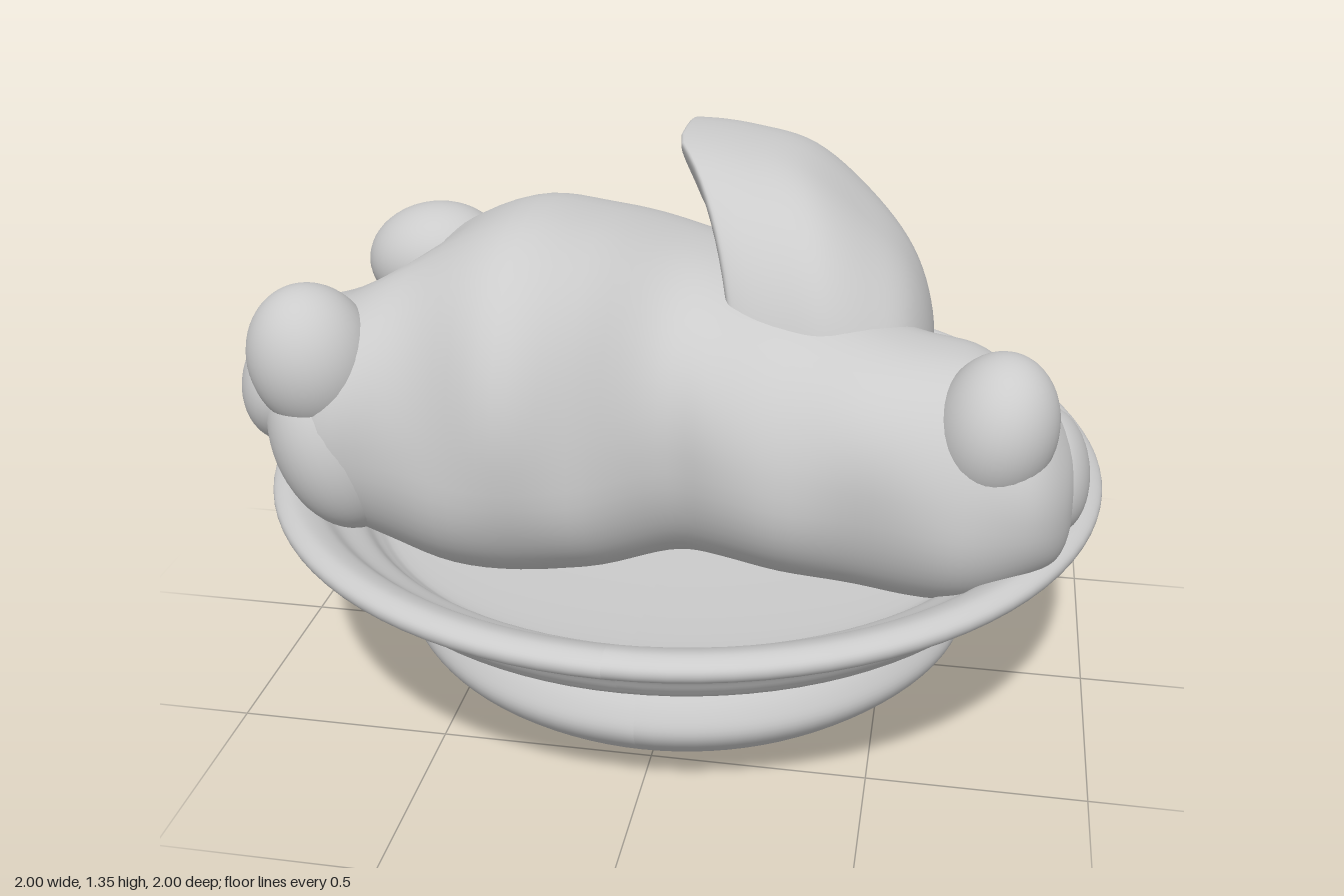
import * as THREE from 'three';

const material = new THREE.MeshStandardMaterial({ color: 0xcccccc, roughness: 0.8, side: THREE.DoubleSide });

function addMesh(group, name, geometry) {
  const mesh = new THREE.Mesh(geometry, material);
  mesh.name = name;
  group.add(mesh);
  return mesh;
}

// Smooth turned shape; warp(v) may nudge each vertex
function turned(points, warp) {
  const curve = new THREE.SplineCurve(points.map(([r, y]) => new THREE.Vector2(r, y)));
  const profile = curve.getPoints(points.length * 5);
  profile.forEach((p) => { p.x = Math.max(p.x, 0); });
  const geometry = new THREE.LatheGeometry(profile, 96);
  const pos = geometry.attributes.position;
  const v = new THREE.Vector3();
  for (let i = 0; i < pos.count; i++) {
    warp(v.fromBufferAttribute(pos, i));
    pos.setXYZ(i, v.x, v.y, v.z);
  }
  geometry.computeVertexNormals();
  return geometry;
}

// Rounded skin along x. Row: [x, centre z, half depth, bottom, widest height, top]
function loft(rows, warp = () => {}) {
  const plan = new THREE.CatmullRomCurve3(rows.map((r) => new THREE.Vector3(r[0], r[1], r[2])), false, 'catmullrom');
  const side = new THREE.CatmullRomCurve3(rows.map((r) => new THREE.Vector3(r[3], r[4], r[5])), false, 'catmullrom');
  const steps = (rows.length - 1) * 6, around = 64;
  const positions = [], index = [];
  const v = new THREE.Vector3();
  const round = (t, power) => Math.sign(t) * Math.abs(t) ** power;
  for (let i = 0; i <= steps; i++) {
    const p = plan.getPoint(i / steps), h = side.getPoint(i / steps);
    for (let j = 0; j < around; j++) {
      const a = (j / around) * Math.PI * 2;
      const s = Math.sin(a);
      const height = s > 0 ? h.z - h.y : h.y - h.x;
      v.set(p.x, h.y + height * round(s, 0.92), p.y + p.z * round(Math.cos(a), 0.88));
      warp(v);
      positions.push(v.x, v.y, v.z);
      if (i < steps) {
        const b = i * around + j, c = i * around + ((j + 1) % around);
        index.push(b, b + around, c, c, b + around, c + around);
      }
    }
  }
  const geometry = new THREE.BufferGeometry();
  geometry.setAttribute('position', new THREE.Float32BufferAttribute(positions, 3));
  geometry.setIndex(index);
  geometry.computeVertexNormals();
  return geometry;
}

export function createModel() {
  const group = new THREE.Group();

  // Bulging foot under the dish
  addMesh(group, 'foot', turned([
    [0, 0], [0.2, 0.012], [0.42, 0.03], [0.55, 0.06], [0.65, 0.13],
    [0.695, 0.19], [0.68, 0.25], [0.63, 0.32], [0.59, 0.38],
  ], (v) => { v.x *= 1 + 0.008 * Math.sin(v.z * 9); }));

  // Dish with stepped underside, rolled rim and sunken floor; the back rim lifts a little
  addMesh(group, 'dish', turned([
    [0.55, 0.37], [0.7, 0.375], [0.81, 0.385], [0.85, 0.42], [0.88, 0.465], [0.94, 0.505],
    [0.99, 0.535], [0.995, 0.565], [0.96, 0.582], [0.91, 0.565], [0.87, 0.53],
    [0.81, 0.5], [0.77, 0.46], [0.7, 0.435], [0.4, 0.42], [0, 0.42],
  ], (v) => { if (v.y > 0.45) v.y += 0.022 * THREE.MathUtils.smoothstep(-v.z, 0.2, 1); }));

  // Long lumpy body lying across the dish, with a shallow seam near the middle
  addMesh(group, 'body', loft([
    [-0.9, 0.38, 0.005, 0.84, 0.86, 0.88],
    [-0.87, 0.37, 0.13, 0.68, 0.84, 0.98],
    [-0.72, 0.31, 0.31, 0.54, 0.78, 1.05],
    [-0.55, 0.25, 0.37, 0.44, 0.76, 1.15],
    [-0.33, 0.25, 0.43, 0.42, 0.75, 1.245],
    [-0.15, 0.19, 0.445, 0.42, 0.75, 1.215],
    [0.02, 0.11, 0.41, 0.42, 0.75, 1.15],
    [0.15, 0.12, 0.41, 0.42, 0.74, 1.11],
    [0.35, 0.19, 0.37, 0.42, 0.73, 1.05],
    [0.55, 0.3, 0.275, 0.43, 0.72, 1.01],
    [0.7, 0.34, 0.25, 0.46, 0.71, 0.99],
    [0.82, 0.35, 0.22, 0.52, 0.7, 0.9],
    [0.89, 0.33, 0.15, 0.56, 0.69, 0.81],
    [0.92, 0.32, 0.005, 0.67, 0.69, 0.71],
  ], (v) => {
    // dent on the upper right shoulder
    const d = ((v.x + 0.62) / 0.12) ** 2 + ((v.z - 0.22) / 0.09) ** 2;
    if (v.y > 0.8) v.y -= 0.05 * Math.exp(-d);
    v.z += 0.012 * Math.sin(v.x * 17) * Math.sin(v.y * 8);
  }));

  // Tall hood-like shell: hollowed open face, sharp lip, then a round back
  addMesh(group, 'hood', loft([
    [0.14, -0.08, 0.005, 0.76, 0.8, 0.84],
    [0.07, -0.08, 0.28, 0.5, 0.8, 1.12],
    [0.025, -0.09, 0.4, 0.43, 0.81, 1.23],
    [-0.02, -0.09, 0.45, 0.42, 0.83, 1.335],
    [0.01, -0.09, 0.465, 0.42, 0.84, 1.348],
    [0.13, -0.09, 0.47, 0.42, 0.84, 1.335],
    [0.27, -0.08, 0.46, 0.42, 0.84, 1.3],
    [0.41, -0.05, 0.4, 0.42, 0.82, 1.2],
    [0.52, 0, 0.3, 0.42, 0.78, 1.09],
    [0.575, 0.03, 0.16, 0.5, 0.76, 0.96],
    [0.585, 0.03, 0.005, 0.76, 0.78, 0.8],
  ], (v) => { v.x += 0.5 * Math.max(v.z, 0) * Math.max(0.58 - v.x, 0) / 0.6; }));

  // Rounded limb ends and shoulder: [name, centre, radii, tilt about z]
  const lumps = [
    ['rightUpperLimb', [-0.74, 0.96, 0.5], [0.14, 0.165, 0.14], 0.2],
    ['rightLimbEnd', [-0.82, 0.87, 0.4], [0.115, 0.15, 0.17], -0.2],
    ['rightLowerLimb', [-0.71, 0.76, 0.47], [0.14, 0.22, 0.17], 0.3],
    ['rightShoulder', [-0.58, 1.06, 0.09], [0.16, 0.125, 0.14], 0.15],
    ['leftUpperLimb', [0.73, 0.88, 0.44], [0.13, 0.165, 0.15], -0.2],
    ['leftLimbEnd', [0.86, 0.71, 0.27], [0.085, 0.13, 0.18], 0.15],
  ];
  for (const [name, centre, radii, tilt] of lumps) {
    const lump = addMesh(group, name, new THREE.SphereGeometry(1, 40, 28));
    lump.position.set(...centre);
    lump.scale.set(...radii);
    lump.rotation.z = tilt;
  }
  return group;
}
